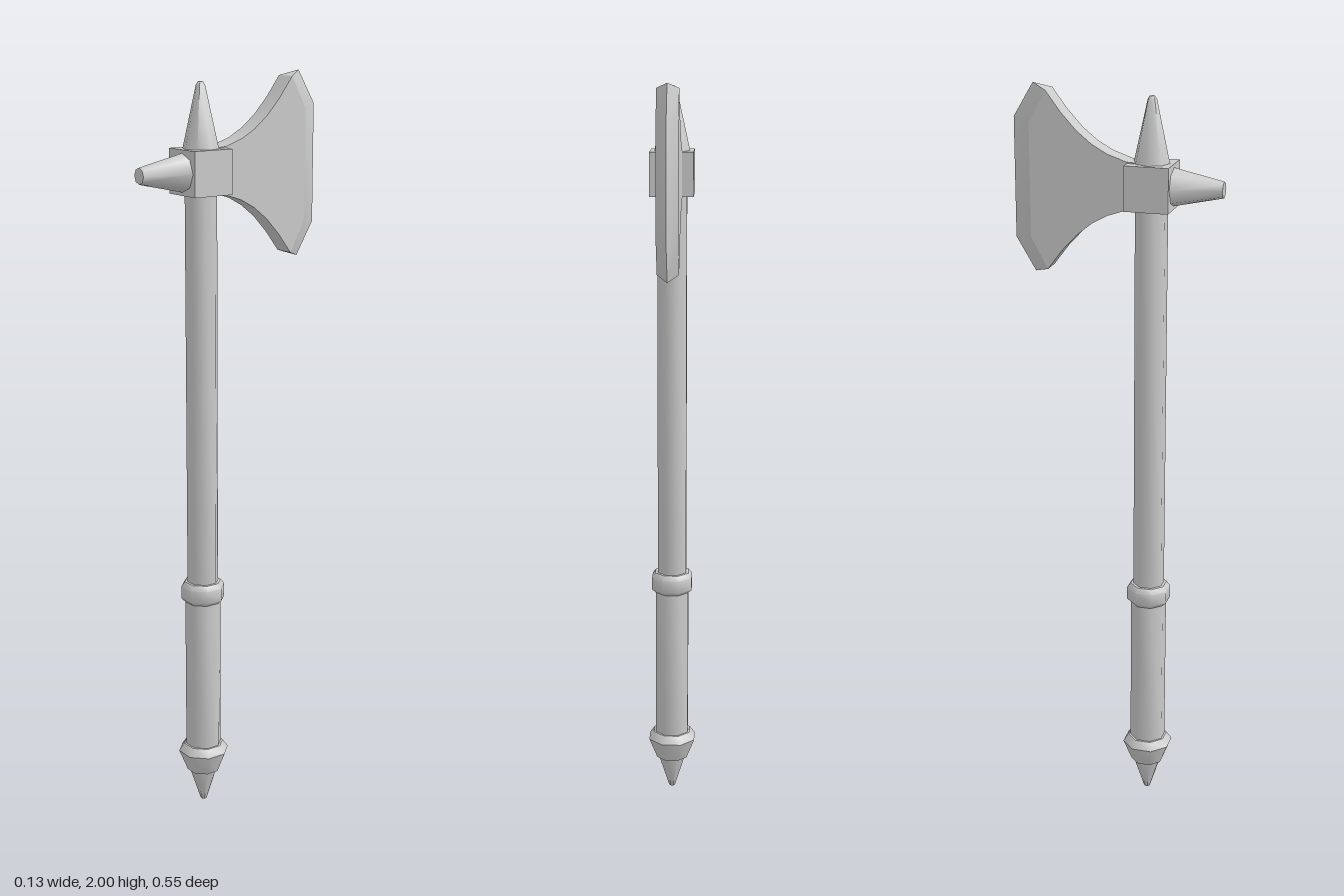
import * as THREE from 'three';
import { toCreasedNormals } from 'three/addons/utils/BufferGeometryUtils.js';

const SIDES = 8;
const AXIS_Z = 0.088; // the handle stands forward of centre
const HEAD_Y = 1.758;
const material = new THREE.MeshStandardMaterial({ color: 0xcccccc });

function part(name, geometry) {
  const mesh = new THREE.Mesh(geometry, material);
  mesh.name = name;
  return mesh;
}

// Octagonal turned part; the profile lists [radius, height] upwards.
// With flats = true the radii are measured to the flat sides.
function turned(name, profile, flats = true) {
  const scale = flats ? 1 / Math.cos(Math.PI / SIDES) : 1;
  const points = profile.map(([r, y]) => new THREE.Vector2(r * scale, y));
  const geometry = new THREE.LatheGeometry(points, SIDES, flats ? Math.PI / SIDES : 0, Math.PI * 2);
  return part(name, toCreasedNormals(geometry, 0.8));
}

// Upper half of the blade as [z, height above the head centre]
const flank = [[0.05, 0.06], [0.03, 0.061], [-0.02, 0.078], [-0.06, 0.1],
  [-0.1, 0.132], [-0.14, 0.175], [-0.18, 0.228], [-0.225, 0.145]];
const edge = [[-0.222, 0.242], [-0.274, 0.155]];
const HALF = 0.028;

function bladeBody() {
  const outline = [...flank, ...flank.map(([z, y]) => [z, -y]).reverse()];
  const shape = new THREE.Shape(outline.map(([z, y]) => new THREE.Vector2(-z, y)));
  const geometry = new THREE.ExtrudeGeometry(shape, { depth: 2 * HALF, bevelEnabled: false });
  geometry.translate(0, 0, -HALF).rotateY(Math.PI / 2);
  return part('bladeBody', toCreasedNormals(geometry, 0.6));
}

// Wedge from the blade's shoulders to the cutting edge
function bladeEdge() {
  const mirrored = (pts) => [...pts, ...pts.map(([z, y]) => [z, -y]).reverse()];
  const shoulders = mirrored(flank.slice(-2));
  const tips = mirrored(edge);
  const vertices = [];
  const index = [];
  shoulders.forEach(([z, y], i) => {
    vertices.push(HALF, y, z, 0, tips[i][1], tips[i][0], -HALF, y, z);
    if (i === 0) return;
    const a = (i - 1) * 3, b = i * 3;
    index.push(a, b, b + 1, a, b + 1, a + 1); // left bevel
    index.push(a + 2, a + 1, b + 1, a + 2, b + 1, b + 2); // right bevel
  });
  const last = (shoulders.length - 1) * 3;
  index.push(0, 1, 2, last, last + 2, last + 1); // end caps
  const geometry = new THREE.BufferGeometry();
  geometry.setAttribute('position', new THREE.Float32BufferAttribute(vertices, 3));
  geometry.setIndex(index);
  const mesh = part('bladeEdge', toCreasedNormals(geometry, 0.6));
  mesh.material = material.clone();
  mesh.material.side = THREE.DoubleSide;
  return mesh;
}

export function createModel() {
  const model = new THREE.Group();
  model.name = 'battleAxe';

  // Handle, from the pointed foot to the top spike
  const handle = new THREE.Group();
  handle.name = 'handle';
  handle.position.z = AXIS_Z;
  handle.add(
    turned('footSpike', [[0, 0], [0.008, 0.002], [0.037, 0.1], [0, 0.1]]),
    turned('pommel', [[0, 0.096], [0.042, 0.096], [0.064, 0.155], [0.05, 0.176], [0, 0.176]]),
    turned('grip', [[0.045, 0.17], [0.045, 0.61]]),
    turned('gripCollar', [[0.045, 0.598], [0.055, 0.608], [0.055, 0.643], [0.046, 0.656], [0, 0.656]]),
    turned('shaft', [[0.039, 0.65], [0.039, 1.71]]),
    turned('topSpike', [[0.048, 1.81], [0.012, 1.972], [0.007, 1.98], [0, 1.982]], false),
  );
  model.add(handle);

  // Head block
  const block = part('headBlock', new THREE.BoxGeometry(0.115, 0.115, 0.115));
  block.position.set(0, HEAD_Y, AXIS_Z);
  model.add(block);

  // Blunt spike at the front of the head
  const frontSpike = turned('frontSpike', [[0.049, 0], [0.021, 0.129], [0, 0.129]], false);
  frontSpike.rotation.x = Math.PI / 2;
  frontSpike.position.set(0, HEAD_Y, 0.145);
  model.add(frontSpike);

  // Flared blade at the back
  const blade = new THREE.Group();
  blade.name = 'blade';
  blade.position.y = HEAD_Y;
  blade.add(bladeBody(), bladeEdge());
  model.add(blade);

  return model;
}
